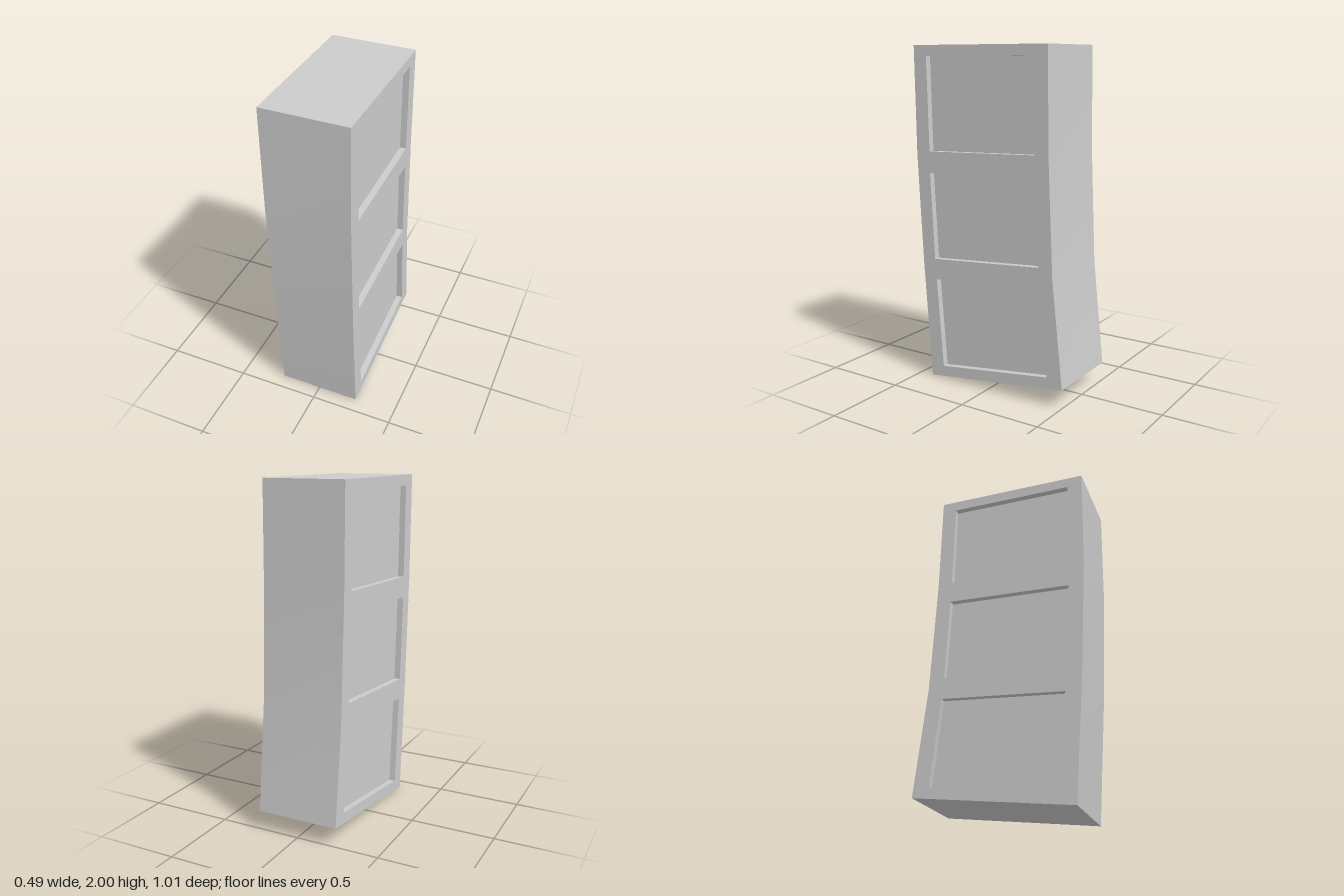
import * as THREE from 'three';
import { toCreasedNormals } from 'three/addons/utils/BufferGeometryUtils.js';

const HALF = 0.247;   // half width
const DEPTH = 0.037;  // panel recess depth

// Side profile as (z, y), running down the front and up the back
const PROFILE = [
  [0.507, 2], [0.498, 1.37], [0.464, 0.71], [0.413, 0],
  [-0.505, 0.115], [-0.436, 0.74], [-0.405, 1.4], [-0.395, 2],
];

// Recessed side panels, same winding as the profile
const PANELS = {
  upper: [[0.418, 1.938], [0.405, 1.39], [-0.318, 1.414], [-0.309, 1.938]],
  middle: [[0.405, 1.262], [0.378, 0.745], [-0.345, 0.796], [-0.322, 1.287]],
  lower: [[0.368, 0.62], [0.326, 0.076], [-0.406, 0.169], [-0.355, 0.67]],
};

const material = new THREE.MeshStandardMaterial({ color: 0xcccccc });

function addMesh(parent, name, geometry) {
  const mesh = new THREE.Mesh(geometry, material);
  mesh.name = name;
  parent.add(mesh);
}

// Wall swept along x around a closed loop; faces outward when x1 > x0, inward otherwise
function wall(loop, x0, x1) {
  const pos = [];
  loop.forEach(([za, ya], i) => {
    const [zb, yb] = loop[(i + 1) % loop.length];
    pos.push(x1, ya, za, x0, ya, za, x0, yb, zb);
    pos.push(x1, ya, za, x0, yb, zb, x1, yb, zb);
  });
  const geo = new THREE.BufferGeometry();
  geo.setAttribute('position', new THREE.Float32BufferAttribute(pos, 3));
  return toCreasedNormals(geo, 0.4);
}

// Flat face at x, looking towards side s (+1 or -1)
function face(loop, holes, s, x) {
  const points = (l) => l.map(([z, y]) => new THREE.Vector2(-s * z, y));
  const shape = new THREE.Shape(points(loop));
  shape.holes = holes.map((h) => new THREE.Path(points(h)));
  return new THREE.ShapeGeometry(shape).rotateY(s * Math.PI / 2).translate(x, 0, 0);
}

export function createModel() {
  const model = new THREE.Group();
  model.name = 'bentBlock';

  // Front, back, top and bottom
  addMesh(model, 'outerShell', wall(PROFILE, -HALF, HALF));

  // Framed sides with three sunken panels each
  for (const s of [1, -1]) {
    const side = new THREE.Group();
    side.name = s > 0 ? 'leftSide' : 'rightSide';
    const outer = s * HALF;
    const inner = s * (HALF - DEPTH);
    addMesh(side, 'sideFrame', face(PROFILE, Object.values(PANELS), s, outer));
    for (const [name, loop] of Object.entries(PANELS)) {
      addMesh(side, name + 'Panel', face(loop, [], s, inner));
      addMesh(side, name + 'PanelRim', wall(loop, Math.max(outer, inner), Math.min(outer, inner)));
    }
    model.add(side);
  }
  return model;
}
